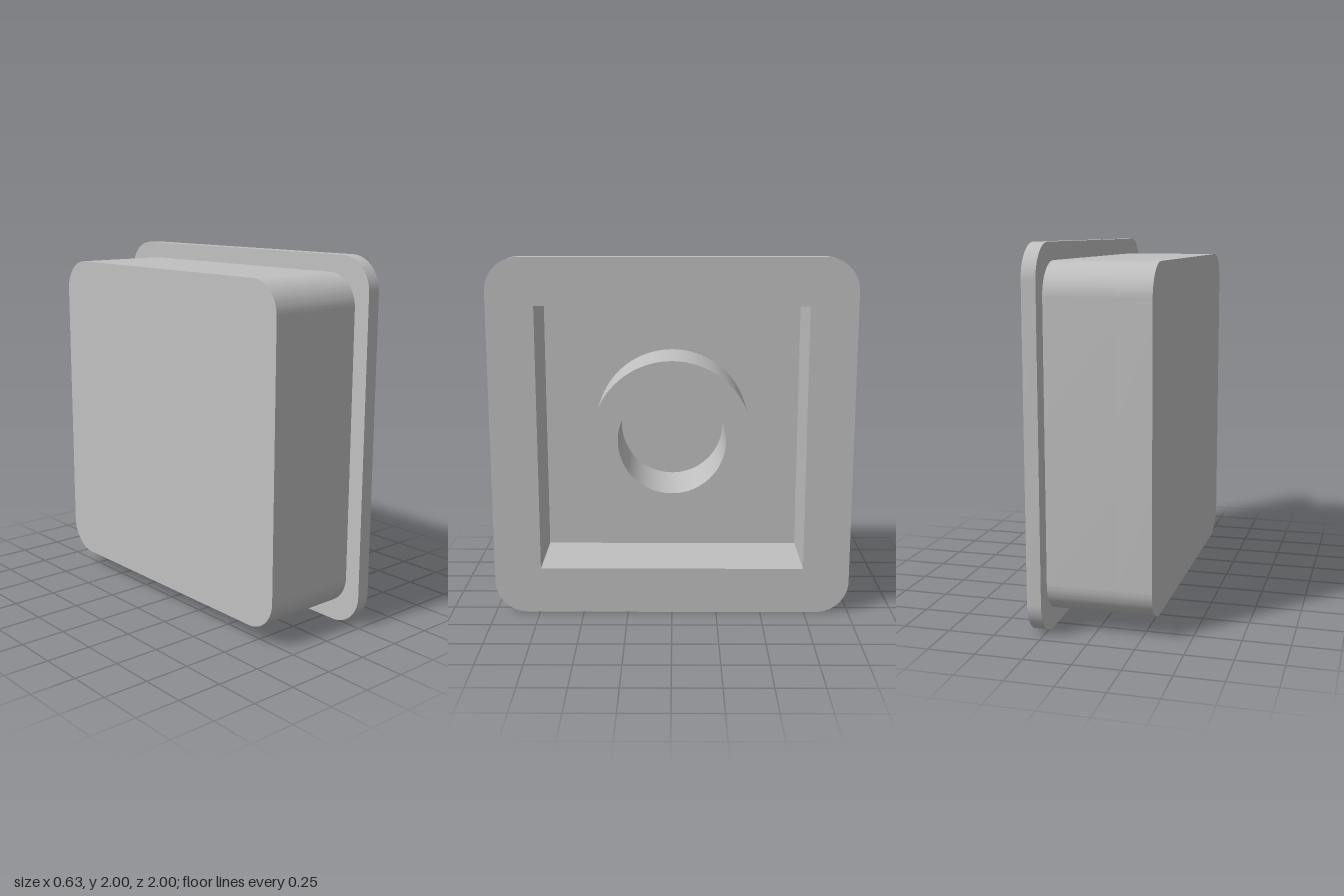
import * as THREE from 'three';
import { toCreasedNormals } from 'three/addons/utils/BufferGeometryUtils.js';

const BACK = -0.315, FLOOR = -0.13, LIP = 0.24, FRONT = 0.315;

// Rounded square outline of half-width h and corner radius r
function roundedSquare(h, r) {
  const s = new THREE.Shape();
  const c = h - r;
  s.absarc(c, c, r, 0, Math.PI / 2);
  s.absarc(-c, c, r, Math.PI / 2, Math.PI);
  s.absarc(-c, -c, r, Math.PI, Math.PI * 1.5);
  s.absarc(c, -c, r, Math.PI * 1.5, Math.PI * 2);
  s.closePath();
  return s;
}

function squareHole(h) {
  return new THREE.Path([[-h, -h], [-h, h], [h, h], [h, -h]].map(([x, y]) => new THREE.Vector2(x, y))).closePath();
}

export function createModel() {
  const group = new THREE.Group();
  group.name = 'squareCap';
  const grey = new THREE.MeshStandardMaterial({ color: 0xc0c0c0 });
  grey.name = 'light grey';

  // Extrude an outline along x from x0 to x1
  function slab(name, shape, x0, x1, curveSegments = 16) {
    let geo = new THREE.ExtrudeGeometry(shape, { depth: x1 - x0, bevelEnabled: false, curveSegments });
    geo = toCreasedNormals(geo, 0.6);
    geo.rotateY(Math.PI / 2);
    geo.translate(x0, 1, 0);
    const mesh = new THREE.Mesh(geo, grey);
    mesh.name = name;
    group.add(mesh);
  }

  // Closed back of the cap
  slab('backPlate', roundedSquare(0.908, 0.175), BACK, FLOOR);

  // Side walls around the square cavity
  const walls = roundedSquare(0.908, 0.175);
  walls.holes.push(squareHole(0.74));
  slab('walls', walls, FLOOR, LIP);

  // Wider flange around the opening
  const flange = roundedSquare(1, 0.183);
  flange.holes.push(squareHole(0.74));
  slab('flange', flange, LIP, FRONT);

  // Hollow central boss, flush with the flange
  const boss = new THREE.Shape().absarc(0, 0, 0.444, 0, Math.PI * 2);
  boss.holes.push(new THREE.Path().absarc(0, 0, 0.297, 0, Math.PI * 2, true));
  slab('boss', boss, FLOOR, FRONT, 48);

  return group;
}
